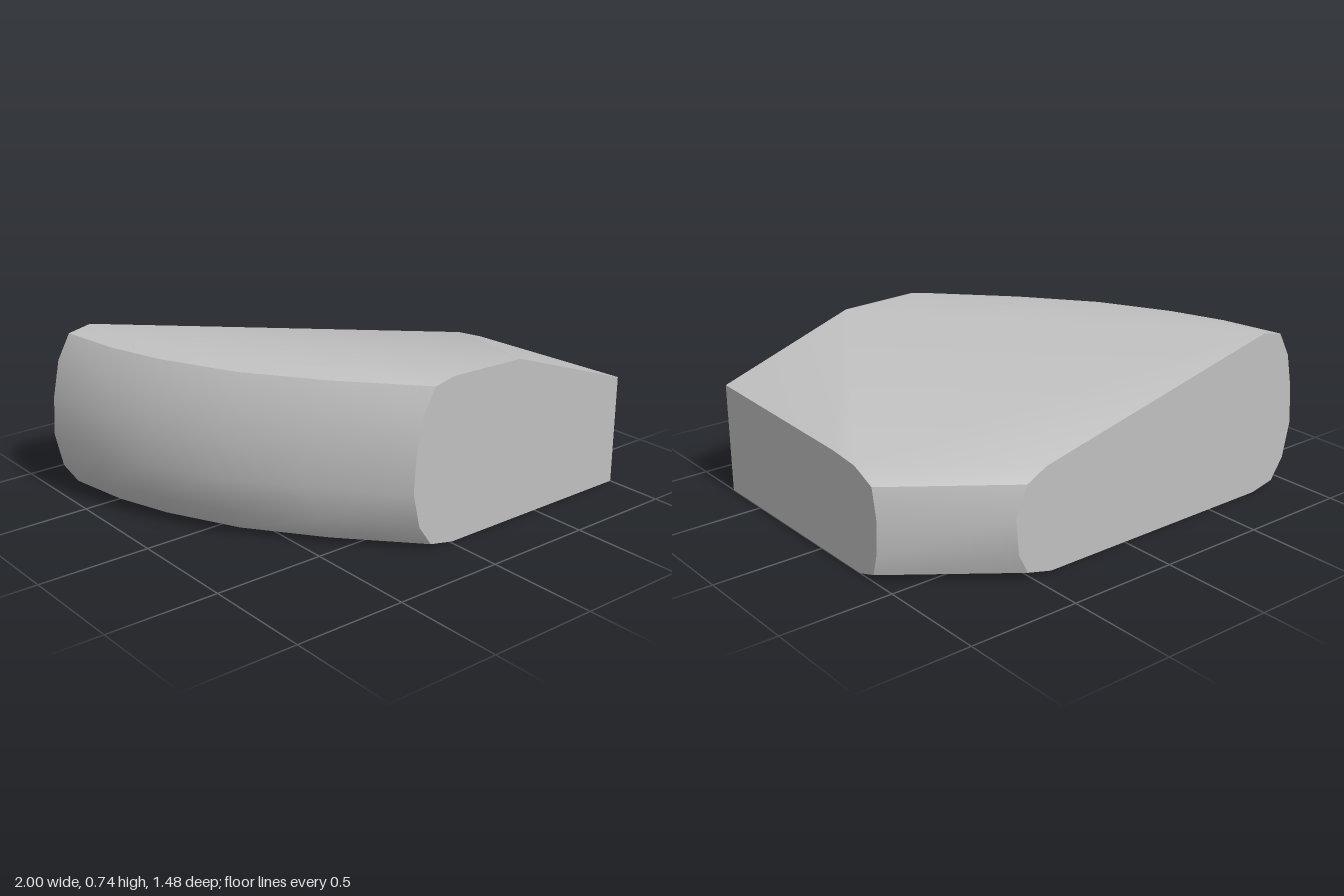
import * as THREE from 'three';
import { ConvexGeometry } from 'three/addons/geometries/ConvexGeometry.js';
import { toCreasedNormals } from 'three/addons/utils/BufferGeometryUtils.js';

export function createModel() {
  const group = new THREE.Group();
  const stone = new THREE.MeshStandardMaterial({ color: 0xc0c0c0 });
  stone.name = 'stone grey';
  const points = [];
  const add = (x, y, z) => points.push(new THREE.Vector3(x, y, z));

  // Rounded side: a plan curve [x, z] repeated at each height, drawn inwards at top and bottom
  const plan = [[-1, -0.74], [-0.955, -0.45], [-0.875, -0.2], [-0.72, 0.12], [-0.49, 0.43], [-0.21, 0.74]];
  const layers = [[0, 0.22], [0.025, 0.1], [0.12, 0.035], [0.28, 0], [0.45, 0.012], [0.61, 0.045], [0.72, 0.105], [0.742, 0.21]];
  for (const [x, z] of plan) {
    const tilt = 1 - 0.012 * (z + 0.74);
    for (const [y, inset] of layers) add(x + inset, y * tilt, z);
  }

  // Bulging corner cut: [y, z on the right face, y, x on the back face]
  const cut = [[0, -0.28, 0, 0.4], [0.03, -0.375, 0.03, 0.52], [0.12, -0.4, 0.12, 0.565],
    [0.28, -0.41, 0.28, 0.58], [0.41, -0.385, 0.41, 0.525], [0.46, -0.27, 0.46, 0.43]];
  for (const [yr, z, yb, x] of cut) {
    add(1, yr, z);
    add(x, yb, -0.74);
  }

  // Sloping top and square front corner
  add(1, 0.475, -0.12);
  add(0.37, 0.72, 0.74);
  add(1, 0.5, 0.74);
  add(1, 0, 0.74);

  const block = new THREE.Mesh(toCreasedNormals(new ConvexGeometry(points), 0.5), stone);
  block.name = 'stoneBlock';
  group.add(block);
  return group;
}
